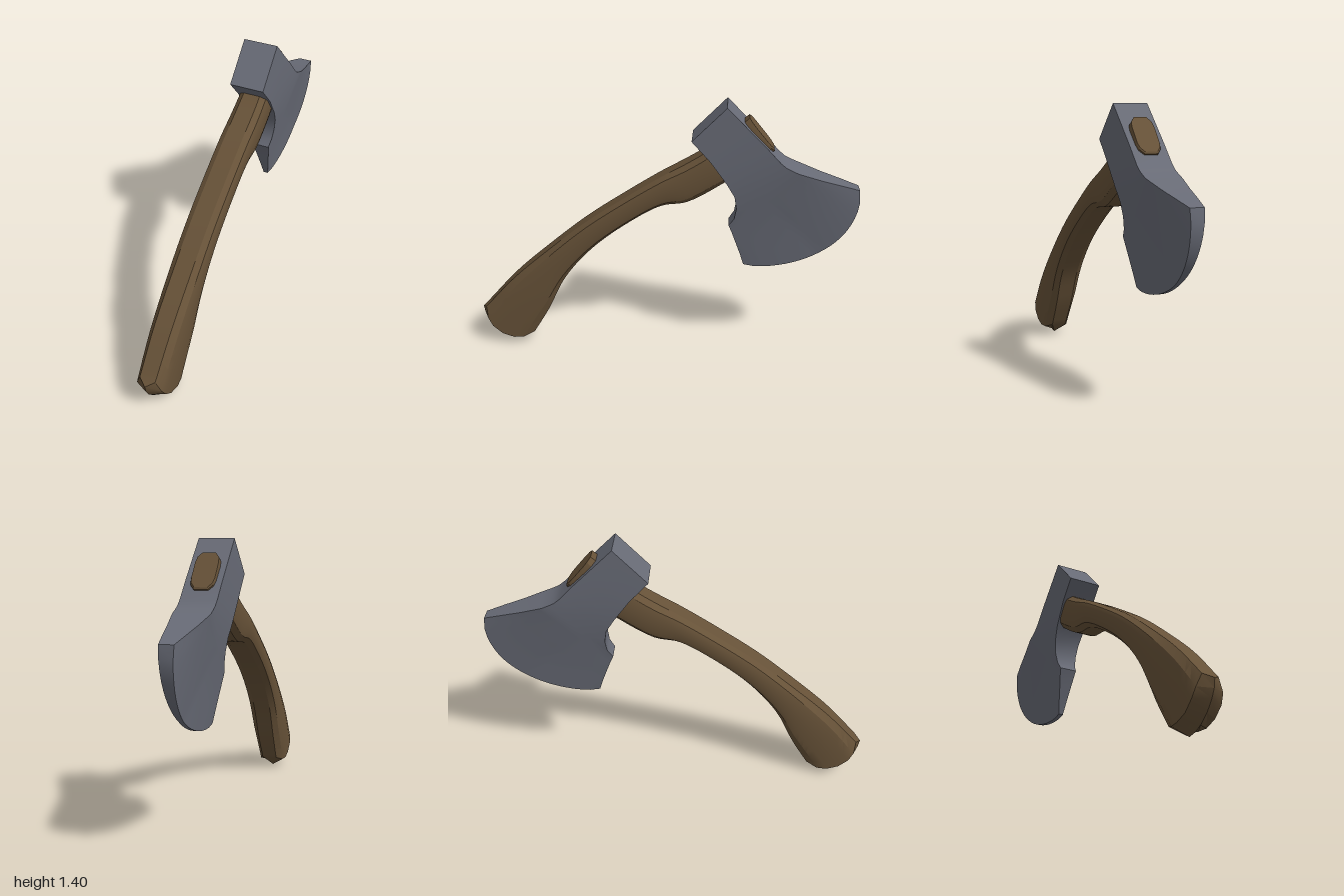
import * as THREE from 'three';
import { toCreasedNormals } from 'three/addons/utils/BufferGeometryUtils.js';

// Ring at one station: half profile [halfWidth, fraction from top to bottom],
// mirrored in x. The chord runs top -> bottom in the z/y plane and may bulge,
// with skew moving the bulge towards the top.
function makeRing(top, bottom, profile, bulge = 0, skew = 0) {
  const dz = bottom[0] - top[0], dy = bottom[1] - top[1];
  const len = Math.hypot(dz, dy);
  const half = profile.map(([x, v]) => {
    const b = bulge * Math.pow(Math.max(0, 4 * v * (1 - v)), 0.78) * (1 - skew * (v - 0.5));
    return new THREE.Vector3(x, top[1] + dy * v + (dz / len) * b, top[0] + dz * v - (dy / len) * b);
  });
  const mirrored = half.map((p) => new THREE.Vector3(-p.x, p.y, p.z)).reverse();
  return [...half, ...mirrored];
}

// Closed loft through symmetric rings, both ends capped by strips
function loft(rings, crease) {
  const n = rings[0].length, tris = [];
  const tri = (a, b, c) => {
    const area = b.clone().sub(a).cross(c.clone().sub(a)).length();
    if (area > 1e-8) tris.push([a, b, c]);
  };
  const quad = (a, b, c, d) => { tri(a, b, c); tri(a, c, d); };
  for (let r = 0; r < rings.length - 1; r++) {
    for (let i = 0; i < n; i++) {
      const j = (i + 1) % n;
      quad(rings[r][i], rings[r][j], rings[r + 1][j], rings[r + 1][i]);
    }
  }
  const first = rings[0], last = rings[rings.length - 1];
  for (let i = 0; i < n / 2 - 1; i++) {
    quad(first[i + 1], first[i], first[n - 1 - i], first[n - 2 - i]);
    quad(last[i], last[i + 1], last[n - 2 - i], last[n - 1 - i]);
  }
  // Turn all faces outward
  let volume = 0;
  for (const [a, b, c] of tris) volume += a.dot(b.clone().cross(c));
  const pts = tris.flatMap(([a, b, c]) => (volume < 0 ? [a, c, b] : [a, b, c]));
  return toCreasedNormals(new THREE.BufferGeometry().setFromPoints(pts), crease);
}

// Handle: chamfered section swept along a curved grip
function handleGeometry() {
  const shape = [[0.56, 0], [0.91, 0.13], [1, 0.28], [1, 0.5], [1, 0.72], [0.91, 0.87], [0.56, 1]];
  const section = (w) => shape.map(([x, v]) => [x * w, v]);
  // top z, top y, bottom z, bottom y, half width
  const stations = [
    [0.97, 0.217, 0.71, 0.067, 0.075],
    [0.80, 0.405, 0.62, 0.22, 0.081],
    [0.60, 0.585, 0.52, 0.42, 0.083],
    [0.40, 0.75, 0.37, 0.60, 0.083],
    [0.20, 0.89, 0.17, 0.76, 0.083],
    [0.00, 1.02, 0.00, 0.86, 0.083],
    [-0.12, 1.09, -0.13, 0.885, 0.082],
    [-0.22, 1.155, -0.33, 1.005, 0.078],
    [-0.32, 1.24, -0.45, 1.085, 0.066],
    [-0.42, 1.325, -0.56, 1.17, 0.06],
  ];
  const tops = new THREE.CatmullRomCurve3(stations.map((s) => new THREE.Vector3(s[4], s[1], s[0])));
  const bottoms = new THREE.CatmullRomCurve3(stations.map((s) => new THREE.Vector3(s[4], s[3], s[2])));
  const steps = 45;
  // Ridge at the butt
  const rings = [makeRing([1.0, 0.195], [0.80, 0.0], section(0), 0.047)];
  for (let i = 0; i <= steps; i++) {
    const t = tops.getPoint(i / steps), b = bottoms.getPoint(i / steps);
    const bulge = 0.088 * Math.max(0, 1 - i / 6);
    rings.push(makeRing([t.z, t.y], [b.z, b.y], section(t.x), bulge));
  }
  // Tip showing above the eye
  rings.push(makeRing([-0.43, 1.335], [-0.558, 1.18], section(0.057)));
  return loft(rings, 0.45);
}

// Head: flat poll and cheeks, thinning to the beard and the rounded cutting edge
function headGeometry() {
  // top z, top y, bottom z, bottom y, half width at top and at bottom, edge amount
  const stations = [
    [-0.32, 1.40, -0.15, 1.225, 0.09, 0.09, 0],
    [-0.42, 1.30, -0.245, 1.12, 0.09, 0.09, 0],
    [-0.52, 1.20, -0.33, 1.00, 0.09, 0.083, 0],
    [-0.59, 1.125, -0.37, 0.93, 0.09, 0.073, 0],
    [-0.62, 1.10, -0.382, 0.86, 0.09, 0.063, 0],
    [-0.65, 1.085, -0.372, 0.80, 0.09, 0.054, 0],
    [-0.68, 1.072, -0.345, 0.76, 0.09, 0.047, 0],
    [-0.70, 1.065, -0.362, 0.72, 0.088, 0.042, 0],
    [-0.80, 1.03, -0.385, 0.655, 0.07, 0.032, 0.34],
    [-0.90, 1.00, -0.41, 0.585, 0.053, 0.022, 0.67],
    [-0.995, 0.97, -0.43, 0.52, 0.035, 0.012, 1],
  ];
  const divisions = 20;
  const rings = stations.map(([tz, ty, bz, by, topHalf, bottomHalf, k]) => {
    const profile = [];
    for (let i = 0; i <= divisions; i++) {
      const v = i / divisions;
      // Cheeks stay thick towards the poll, the edge thins quickly
      const fade = THREE.MathUtils.lerp(v, Math.min(1, v * 2), k);
      profile.push([THREE.MathUtils.lerp(topHalf, bottomHalf, fade), v]);
    }
    return makeRing([tz, ty], [bz, by], profile, -0.178 * k, 0.35);
  });
  return loft(rings, 0.5);
}

export function createModel() {
  const wood = new THREE.MeshStandardMaterial({ color: 0x675238 });
  wood.name = 'brown wood';
  const steel = new THREE.MeshStandardMaterial({ color: 0x686b76 });
  steel.name = 'grey steel';

  const model = new THREE.Group();
  model.name = 'axe';
  const add = (name, geometry, material) => {
    const mesh = new THREE.Mesh(geometry, material);
    mesh.name = name;
    model.add(mesh);
  };
  add('handle', handleGeometry(), wood);
  add('axeHead', headGeometry(), steel);
  return model;
}
